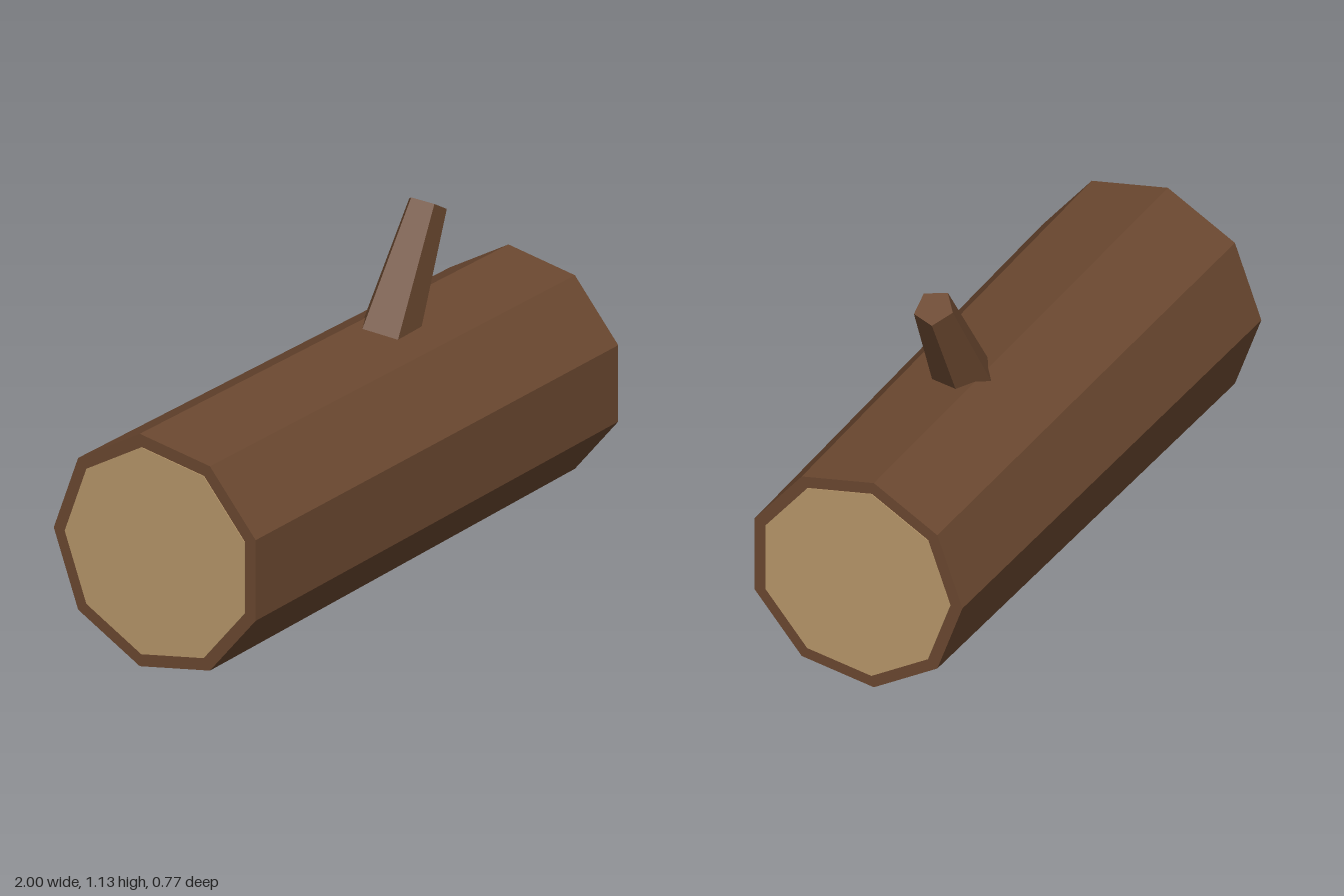
import * as THREE from 'three';

const bark = new THREE.MeshStandardMaterial({ name: 'bark', color: 0x6b4830, flatShading: true });
const cutWood = new THREE.MeshStandardMaterial({ name: 'cutWood', color: 0xb8976a, flatShading: true });

// Faceted tapered prism with one corner pointing to -z, leaned from +y towards +x
function prism(name, material, rTop, rBottom, height, sides, lean, position) {
  const geometry = new THREE.CylinderGeometry(rTop, rBottom, height, sides, 1, false, Math.PI);
  geometry.rotateZ(-lean);
  const mesh = new THREE.Mesh(geometry, material);
  mesh.name = name;
  mesh.position.set(...position);
  return mesh;
}

export function createModel() {
  const group = new THREE.Group();
  group.name = 'log';

  const sides = 9, cy = 0.395, cz = 0.012;
  const rLeft = 0.376, rRight = 0.397; // radii at the +x and -x ends
  const half = 0.997, plate = 0.006;

  // Trunk lying along x, slightly thinner at +x
  group.add(prism('trunk', bark, rLeft, rRight, half * 2, sides, Math.PI / 2, [0, cy, cz]));

  // Pale sawn faces, leaving a rim of bark
  for (const [name, side, r] of [['leftCutFace', 1, rLeft], ['rightCutFace', -1, rRight]]) {
    const face = r * 0.89;
    group.add(prism(name, cutWood, face, face, plate, sides, Math.PI / 2,
      [side * (1 - plate / 2), cy, cz]));
  }

  // Branch stub leaning towards +x, its foot buried in the trunk
  const lean = Math.PI / 6, length = 0.55;
  const tip = [0.458, 1.099];
  group.add(prism('branchStub', bark, 0.066, 0.111, length, 5, lean, [
    tip[0] - Math.sin(lean) * length / 2,
    tip[1] - Math.cos(lean) * length / 2,
    0.0135,
  ]));

  return group;
}
